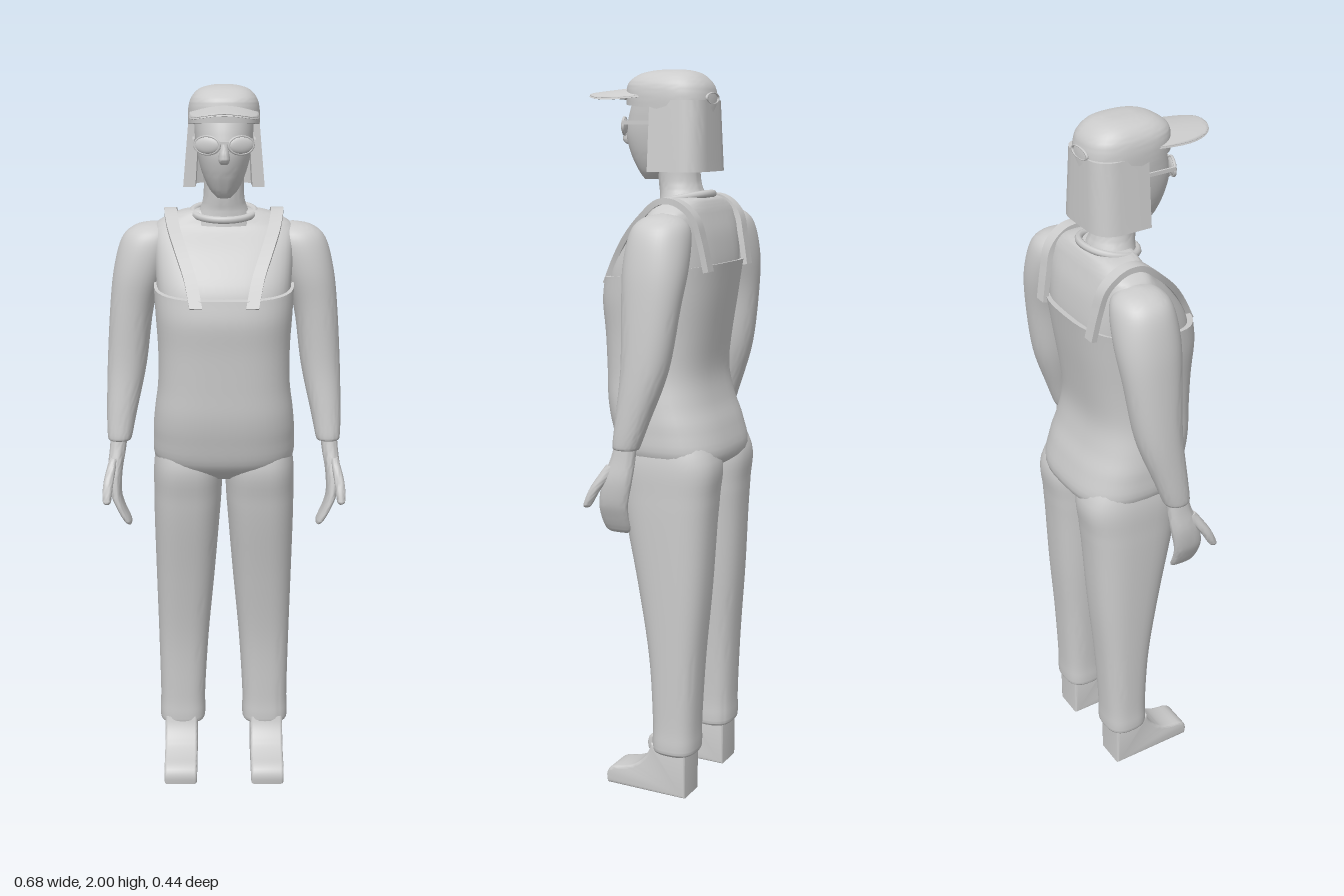
import * as THREE from 'three';
import { toCreasedNormals } from 'three/addons/utils/BufferGeometryUtils.js';

const material = new THREE.MeshStandardMaterial({ color: 0xcccccc, side: THREE.DoubleSide });

function add(group, name, geometry) {
  const mesh = new THREE.Mesh(geometry, material);
  mesh.name = name;
  group.add(mesh);
  return mesh;
}

// Closed skin over rings of equal point count, with smooth sides and creased ends.
function skin(rings, crease = 0.9) {
  const m = rings[0].length, pos = [], index = [];
  rings.forEach(r => r.forEach(p => pos.push(p.x, p.y, p.z)));
  for (let i = 0; i < rings.length - 1; i++) {
    for (let j = 0; j < m; j++) {
      const a = i * m + j, b = i * m + (j + 1) % m;
      index.push(b, a, a + m, b, a + m, b + m);
    }
  }
  [0, rings.length - 1].forEach((i, end) => {
    const c = rings[i].reduce((s, p) => s.add(p), new THREE.Vector3()).divideScalar(m);
    const k = pos.length / 3;
    pos.push(c.x, c.y, c.z);
    for (let j = 0; j < m; j++) {
      const a = i * m + j, b = i * m + (j + 1) % m;
      if (end) index.push(k, b, a); else index.push(k, a, b);
    }
  });
  const g = new THREE.BufferGeometry();
  g.setAttribute('position', new THREE.Float32BufferAttribute(pos, 3));
  g.setIndex(index);
  return toCreasedNormals(g, crease);
}

// Upward loft through superellipse sections [y, cx, cz, rx, rz], splined between them.
function loft(sections, { n = 2.4, side = 1, tilt = () => 0, steps = 5, sides = 40 } = {}) {
  const at = i => sections[Math.max(0, Math.min(sections.length - 1, i))];
  const rings = [];
  const power = v => Math.sign(v) * Math.pow(Math.abs(v), 2 / n);
  for (let k = 0; k <= (sections.length - 1) * steps; k++) {
    const i = Math.floor(k / steps), t = (k % steps) / steps;
    const [y, cx, cz, rx, rz] = at(i).map((b, c) => {
      const a = at(i - 1)[c], d = at(i + 1)[c], e = at(i + 2)[c];
      return b + 0.5 * t * (d - a + t * (2 * a - 5 * b + 4 * d - e + t * (3 * (b - d) + e - a)));
    });
    const ring = [];
    for (let j = 0; j < sides; j++) {
      const a = j / sides * Math.PI * 2;
      const x = side * cx + rx * power(Math.cos(a)), z = cz + rz * power(Math.sin(a));
      ring.push(new THREE.Vector3(x, y + tilt(y, z, x), z));
    }
    rings.push(ring);
  }
  return skin(rings);
}

// Flat band following a path, its width always along x.
function band(points, width, thick) {
  const curve = new THREE.CatmullRomCurve3(points);
  const rings = [];
  for (let i = 0; i <= 36; i++) {
    const p = curve.getPoint(i / 36), t = curve.getTangent(i / 36);
    const nrm = new THREE.Vector3(0, -t.z, t.y).normalize();
    rings.push([[1, -1], [1, 1], [-1, 1], [-1, -1]].map(([u, v]) =>
      new THREE.Vector3(p.x + u * width / 2, p.y, p.z).addScaledVector(nrm, v * thick / 2)));
  }
  return skin(rings, 0.6);
}

const vec = (s, list) => list.map(([x, y, z]) => new THREE.Vector3(s * x, y, z));

export function createModel() {
  const model = new THREE.Group();
  model.name = 'standingWorker';

  // Overalls body and the shirt showing above it
  add(model, 'overallsBody', loft([
    [0.925, 0, -0.06, 0.09, 0.09], [0.97, 0, -0.063, 0.188, 0.152], [1.05, 0, -0.043, 0.198, 0.158],
    [1.12, 0, -0.023, 0.193, 0.152], [1.2, 0, -0.013, 0.183, 0.147], [1.3, 0, -0.015, 0.182, 0.155],
    [1.4, 0, -0.02, 0.188, 0.168], [1.47, 0, -0.03, 0.192, 0.17],
  ], { n: 2.8, tilt: (y, z) => -0.14 * z * THREE.MathUtils.smoothstep(y, 1.3, 1.47) }));
  add(model, 'shirt', loft([
    [1.38, 0, -0.02, 0.178, 0.15], [1.47, 0, -0.035, 0.184, 0.15], [1.56, 0, -0.06, 0.19, 0.115],
    [1.62, 0, -0.08, 0.19, 0.077], [1.648, 0, -0.082, 0.155, 0.064], [1.665, 0, -0.08, 0.11, 0.055],
    [1.67, 0, -0.075, 0.06, 0.045],
  ], { n: 3 }));

  // Neck and collar
  add(model, 'neck', loft([
    [1.63, 0, -0.06, 0.085, 0.07], [1.67, 0, -0.055, 0.066, 0.062],
    [1.71, 0, -0.045, 0.055, 0.058], [1.8, 0, -0.04, 0.055, 0.058],
  ], { n: 2 }));
  const collar = add(model, 'collar', new THREE.TorusGeometry(0.08, 0.01, 8, 40));
  collar.scale.set(1.05, 0.92, 1);
  collar.rotation.x = Math.PI / 2 + 0.2;
  collar.position.set(0, 1.662, -0.062);

  for (const s of [1, -1]) {
    const side = s > 0 ? 'left' : 'right';

    // Strap over the shoulder
    add(model, side + 'Strap', band(vec(s, [
      [0.075, 1.43, 0.138], [0.09, 1.5, 0.1], [0.112, 1.56, 0.056], [0.135, 1.62, -0.005],
      [0.145, 1.66, -0.06], [0.145, 1.658, -0.11], [0.14, 1.62, -0.156],
      [0.132, 1.56, -0.174], [0.125, 1.48, -0.19]]), 0.034, 0.016));

    // Trouser leg with rounded cuff
    add(model, side + 'Leg', loft([
      [0.122, 0.124, -0.102, 0.055, 0.052], [0.13, 0.124, -0.102, 0.066, 0.063],
      [0.155, 0.124, -0.102, 0.068, 0.065], [0.22, 0.123, -0.102, 0.067, 0.065],
      [0.4, 0.119, -0.1, 0.074, 0.075], [0.6, 0.112, -0.09, 0.085, 0.1],
      [0.785, 0.106, -0.075, 0.094, 0.125], [0.87, 0.103, -0.07, 0.097, 0.136],
      [0.97, 0.101, -0.064, 0.096, 0.146], [1.08, 0.1, -0.05, 0.07, 0.1],
    ], { n: 2.7, side: s }));

    // Shoe from its side profile
    const shoe = new THREE.Shape();
    shoe.moveTo(-0.14, 0.008);
    shoe.lineTo(0.092, 0.008);
    shoe.quadraticCurveTo(0.1, 0.04, 0.07, 0.048);
    shoe.quadraticCurveTo(0.015, 0.055, -0.01, 0.08);
    shoe.quadraticCurveTo(-0.04, 0.105, -0.048, 0.14);
    shoe.lineTo(-0.14, 0.14);
    shoe.closePath();
    const sg = new THREE.ExtrudeGeometry(shoe,
      { depth: 0.08, bevelSize: 0.008, bevelThickness: 0.008, bevelSegments: 3, curveSegments: 8 });
    sg.translate(0, 0, -0.04).rotateY(-Math.PI / 2);
    add(model, side + 'Shoe', toCreasedNormals(sg, 0.6)).position.x = s * 0.128;

    // Sleeve
    add(model, side + 'Arm', loft([
      [1.025, 0.294, -0.035, 0.028, 0.031], [1.033, 0.294, -0.035, 0.034, 0.037],
      [1.1, 0.288, -0.05, 0.042, 0.046], [1.235, 0.272, -0.078, 0.055, 0.064],
      [1.395, 0.256, -0.088, 0.061, 0.079], [1.5, 0.232, -0.09, 0.073, 0.087],
      [1.585, 0.205, -0.09, 0.077, 0.078], [1.62, 0.195, -0.09, 0.052, 0.052],
      [1.632, 0.19, -0.09, 0.012, 0.012],
    ], { side: s, n: 2.2 }));

    // Hand curling inward, with thumb
    add(model, side + 'Hand', loft([
      [0.788, 0.268, 0.002, 0.006, 0.026], [0.8, 0.275, 0.002, 0.011, 0.037],
      [0.84, 0.294, 0.002, 0.013, 0.041], [0.88, 0.306, -0.002, 0.016, 0.042],
      [0.94, 0.308, -0.014, 0.021, 0.042], [1.0, 0.3, -0.028, 0.023, 0.034],
      [1.06, 0.294, -0.036, 0.024, 0.028],
    ], { side: s, n: 2.3, sides: 24 }));
    add(model, side + 'Thumb', loft([
      [0.862, 0.327, 0.068, 0.005, 0.005], [0.872, 0.328, 0.064, 0.012, 0.012],
      [0.92, 0.324, 0.04, 0.014, 0.016], [0.98, 0.31, -0.002, 0.012, 0.02],
    ], { side: s, n: 2, sides: 16 }));

    // Glasses lens, rim and temple
    const lens = new THREE.Group();
    lens.name = side + 'Lens';
    add(lens, 'glass', new THREE.SphereGeometry(1, 24, 12)).scale.set(0.035, 0.022, 0.009);
    add(lens, 'rim', new THREE.TorusGeometry(0.034, 0.004, 6, 28)).scale.set(1, 0.68, 1);
    lens.position.set(s * 0.044, 1.853, 0.1);
    lens.rotation.y = s * 0.35;
    model.add(lens);
    const temple = add(model, side + 'Temple', new THREE.BoxGeometry(0.005, 0.01, 0.11));
    temple.position.set(s * 0.08, 1.862, 0.033);
  }
  add(model, 'glassesBridge', new THREE.BoxGeometry(0.024, 0.007, 0.008)).position.set(0, 1.86, 0.115);

  // Head and nose
  add(model, 'head', loft([
    [1.712, 0, 0.035, 0.018, 0.025], [1.735, 0, 0.02, 0.04, 0.056], [1.78, 0, 0.008, 0.06, 0.09],
    [1.83, 0, 0, 0.072, 0.11], [1.88, 0, -0.01, 0.078, 0.112], [1.93, 0, -0.02, 0.08, 0.105],
  ], { n: 2.1 }));
  add(model, 'nose', loft([
    [1.805, 0, 0.108, 0.01, 0.008], [1.82, 0, 0.108, 0.015, 0.02], [1.86, 0, 0.104, 0.008, 0.012],
  ], { n: 2, sides: 16 }));

  // Hair: a U-shaped wall, flaring downward
  const hair = new THREE.Shape();
  hair.moveTo(0.1, 0);
  hair.lineTo(0.1, 0.085);
  hair.bezierCurveTo(0.098, 0.12, 0.08, 0.142, 0.04, 0.144);
  hair.lineTo(-0.04, 0.144);
  hair.bezierCurveTo(-0.08, 0.142, -0.098, 0.12, -0.1, 0.085);
  hair.lineTo(-0.1, 0);
  hair.lineTo(-0.07, 0);
  hair.lineTo(-0.068, 0.09);
  hair.lineTo(-0.04, 0.112);
  hair.lineTo(0.04, 0.112);
  hair.lineTo(0.068, 0.09);
  hair.lineTo(0.07, 0);
  hair.closePath();
  const hg = new THREE.ExtrudeGeometry(hair, { depth: 0.185, steps: 6, bevelEnabled: false, curveSegments: 10 });
  hg.rotateX(-Math.PI / 2);
  const hp = hg.attributes.position;
  for (let i = 0; i < hp.count; i++) {
    const t = hp.getY(i) / 0.185;
    hp.setX(i, hp.getX(i) * (1.09 - 0.16 * t));
    hp.setZ(i, hp.getZ(i) * (1.02 - 0.04 * t));
  }
  add(model, 'hair', toCreasedNormals(hg, 0.7)).position.y = 1.735;

  // Cap crown, curved brim and back strap opening
  add(model, 'capCrown', loft([
    [1.9, 0, -0.021, 0.095, 0.121], [1.935, 0, -0.021, 0.095, 0.121], [1.965, 0, -0.02, 0.088, 0.113],
    [1.988, 0, -0.022, 0.068, 0.084], [1.998, 0, -0.025, 0.036, 0.048], [2, 0, -0.025, 0.01, 0.014],
  ], { n: 2.6, tilt: (y, z) => (2 - y) * z * 1.0 }));
  add(model, 'capBrim', loft([
    [0, 0, 0.06, 0.01, 0.016], [0.001, 0, 0.06, 0.05, 0.08], [0.002, 0, 0.06, 0.088, 0.151],
    [0.006, 0, 0.06, 0.09, 0.155], [0.009, 0, 0.06, 0.086, 0.149], [0.011, 0, 0.06, 0.05, 0.08],
    [0.012, 0, 0.06, 0.01, 0.016],
  ], { n: 2.6, tilt: (y, z, x) => 1.932 - 2.6 * x * x + 0.08 * (0.215 - z) })); 
  const slot = add(model, 'capBackOpening', new THREE.TorusGeometry(0.036, 0.004, 6, 32));
  slot.scale.set(1, 0.4, 1);
  slot.position.set(0, 1.925, -0.14);

  return model;
}
